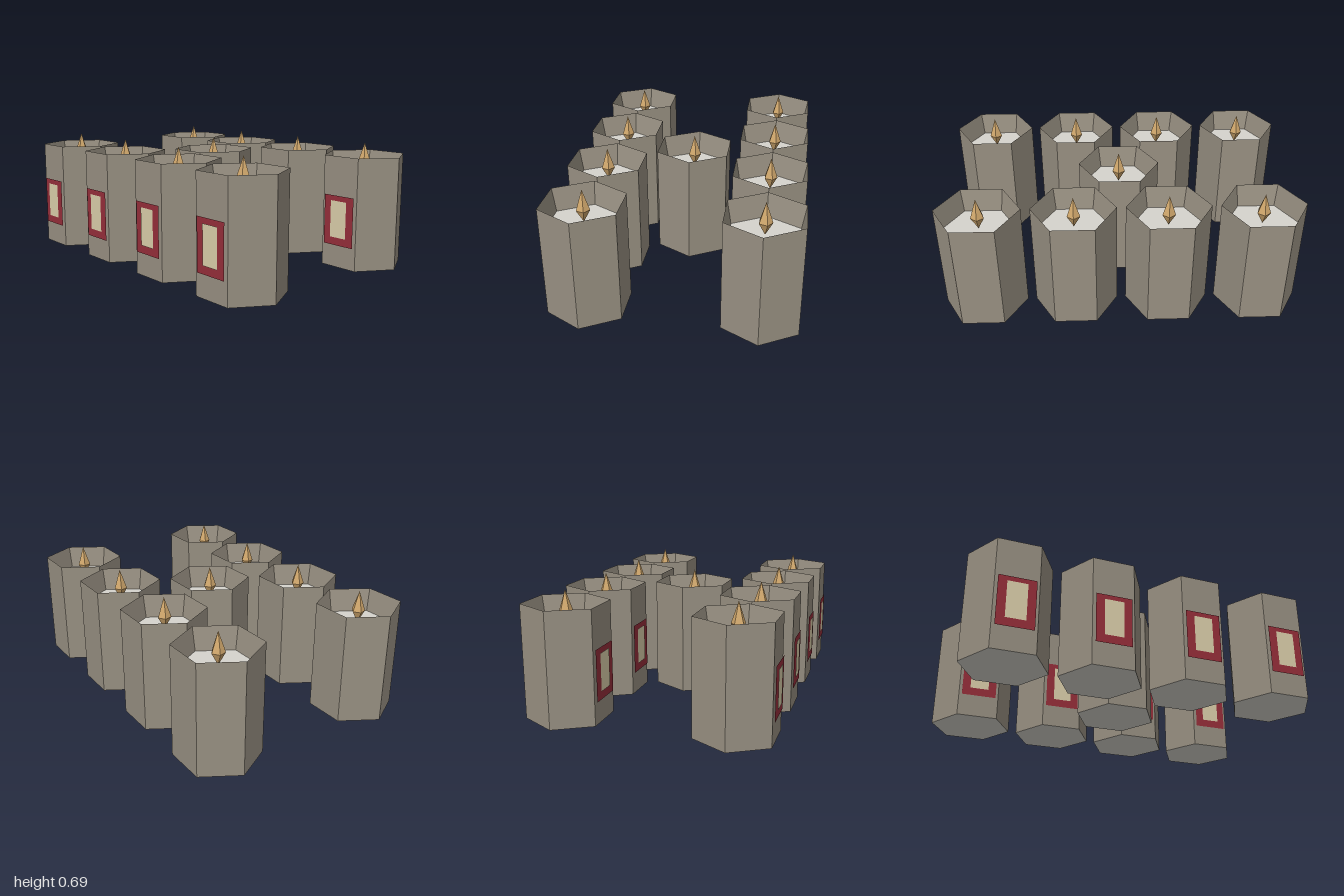
import * as THREE from 'three';

const R = 0.232;        // hexagon corner radius
const INNER = 0.206;    // radius where the sloped inner wall meets the wax
const H = 0.623;        // jar height
const WAX_Y = 0.495;    // wax level

const mat = (name, color) => {
  const m = new THREE.MeshStandardMaterial({ color });
  m.name = name;
  return m;
};

// Faceted lathe from [radius, height] points
function facetedLathe(points, sides, start) {
  const pts = points.map(([x, y]) => new THREE.Vector2(x, y));
  const g = new THREE.LatheGeometry(pts, sides, start).toNonIndexed();
  g.computeVertexNormals();
  return g;
}

export function createModel() {
  const stone = mat('greyBrown', 0x989082);
  const wax = mat('paleWax', 0xd6d4cd);
  const red = mat('deepRed', 0x962e3a);
  const cream = mat('cream', 0xdccfab);
  const gold = mat('flameTan', 0xd0a76c);

  // Shared geometries
  const wallGeo = facetedLathe([[R, 0], [R, H], [INNER, WAX_Y]], 6, Math.PI / 2);
  const waxGeo = new THREE.CircleGeometry(INNER, 6).rotateX(-Math.PI / 2);
  const baseGeo = new THREE.CircleGeometry(R, 6).rotateX(Math.PI / 2);
  const flameGeo = facetedLathe([[0, 0.505], [0.038, 0.575], [0, 0.687]], 5, Math.PI);
  const borderGeo = new THREE.PlaneGeometry(0.2, 0.28);
  const panelGeo = new THREE.PlaneGeometry(0.107, 0.206);

  // One hexagonal candle with its label on the front face
  function candle(x, z, labelX = 0) {
    const g = new THREE.Group();
    g.name = 'candle';
    const add = (name, geo, material, px = 0, py = 0, pz = 0) => {
      const m = new THREE.Mesh(geo, material);
      m.name = name;
      m.position.set(px, py, pz);
      g.add(m);
    };
    add('jarWall', wallGeo, stone);
    add('jarBase', baseGeo, wax);
    add('waxSurface', waxGeo, wax, 0, WAX_Y, 0);
    add('flame', flameGeo, gold);
    add('labelBorder', borderGeo, red, labelX, 0.266, 0.209);
    add('labelPanel', panelGeo, cream, labelX, 0.274, 0.213);
    g.position.set(x, 0, z);
    return g;
  }

  const model = new THREE.Group();
  model.name = 'candleSet';

  // Two rows of four, and one in the middle
  for (const z of [0.455, -0.467]) {
    for (let i = 0; i < 4; i++) model.add(candle((i - 1.5) * 0.512, z));
  }
  model.add(candle(0, -0.006, -0.05));
  return model;
}
